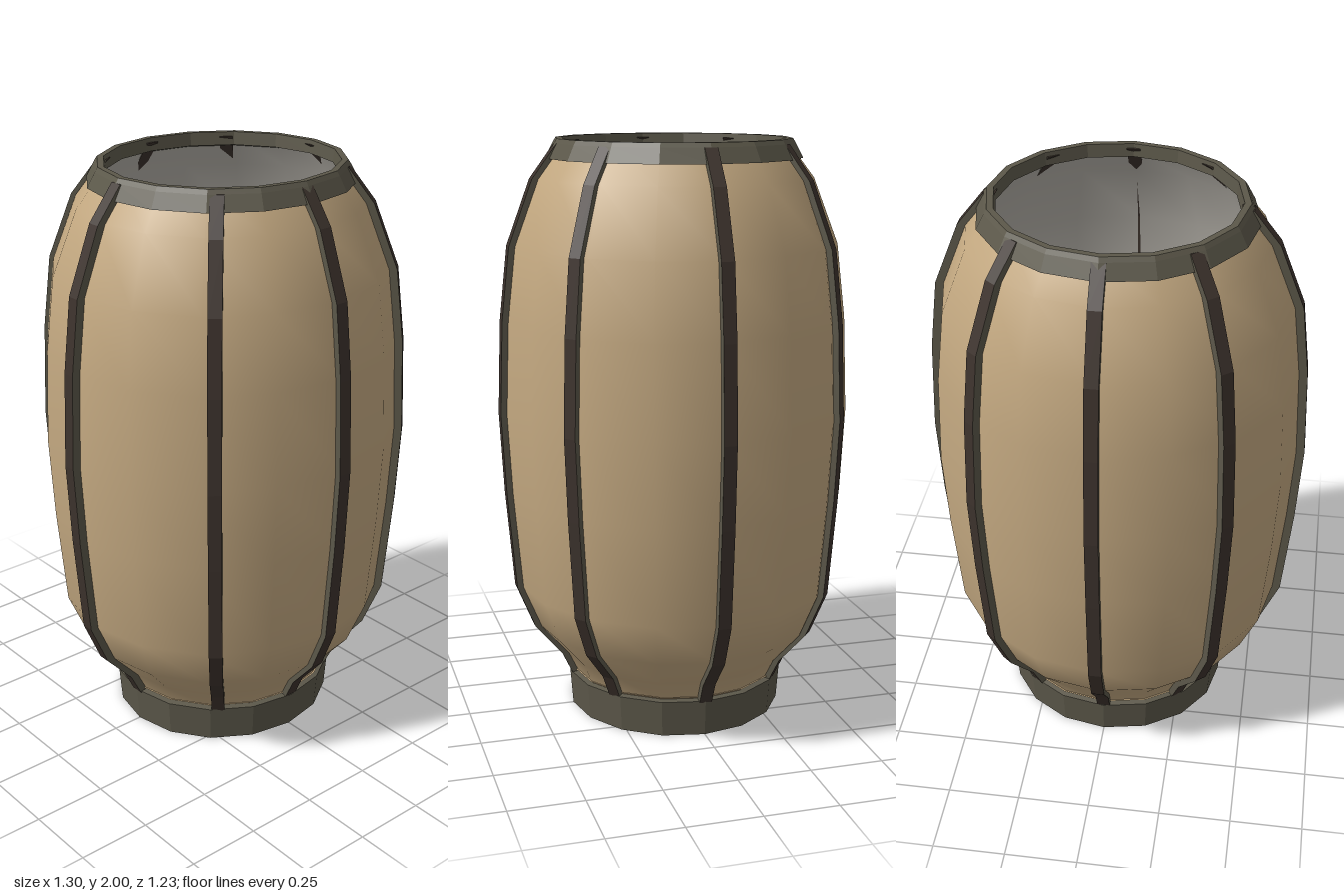
import * as THREE from 'three';

const mat = (name, color) => {
  const m = new THREE.MeshStandardMaterial({ color });
  m.name = name;
  return m;
};

// Outer line of the barrel as [radius, height], bottom to top
const PROFILE = [
  [0.40, 0.12], [0.44, 0.2], [0.54, 0.31], [0.605, 0.46], [0.635, 0.8],
  [0.65, 1.08], [0.637, 1.4], [0.607, 1.65], [0.52, 1.87], [0.43, 1.985],
];
const SIDES = 16;

const offset = (d) => PROFILE.map(([r, y]) => new THREE.Vector2(r - d, y));
const points = (list) => list.map(([r, y]) => new THREE.Vector2(r, y));

function faceted(geometry) {
  const g = geometry.toNonIndexed();
  g.computeVertexNormals();
  return g;
}

export function createModel() {
  const model = new THREE.Group();
  const body = new THREE.Group();
  body.name = 'lantern';
  body.scale.z = 0.955; // slightly oval plan
  model.add(body);

  const paper = mat('tan paper', 0xc4a981);
  const metal = mat('olive grey metal', 0x5c584a);
  const wood = mat('dark brown wood', 0x3d332d);
  const underside = mat('near black underside', 0x241d1b);
  const lining = mat('pale grey lining', 0xb4b0a8);

  const add = (name, geometry, material, parent = body) => {
    const mesh = new THREE.Mesh(geometry, material);
    mesh.name = name;
    parent.add(mesh);
    return mesh;
  };

  // Bulging paper shell and its inside face
  add('paperShell', new THREE.LatheGeometry(offset(0.024), SIDES), paper);
  const inside = offset(0.045).reverse();
  inside[0].x = 0.40;
  inside[inside.length - 1].x = 0.372;
  add('innerLining', new THREE.LatheGeometry(inside, SIDES), lining);

  // Eight curved ribs: grey sides, dark outer edge
  const ribs = new THREE.Group();
  ribs.name = 'ribs';
  body.add(ribs);
  const ribShape = new THREE.Shape([...offset(0), ...offset(0.04).reverse()]);
  const ribWidth = 0.046;
  const ribGeometry = new THREE.ExtrudeGeometry(ribShape, { depth: ribWidth, bevelEnabled: false });
  ribGeometry.translate(0, 0, -ribWidth / 2);
  const diagonal = 49;
  for (const degrees of [0, diagonal, 90, 180 - diagonal, 180, 180 + diagonal, 270, 360 - diagonal]) {
    const rib = add('rib', ribGeometry, [metal, wood], ribs);
    rib.rotation.y = THREE.MathUtils.degToRad(degrees);
    // Ribs away from the sides sit a touch closer in
    const inset = Math.abs(Math.cos(rib.rotation.y)) > 0.9 ? 1 : 0.99;
    rib.scale.set(inset, 1, 1);
  }

  // Top rim
  add('topRim', faceted(new THREE.LatheGeometry(points([
    [0.40, 1.955], [0.457, 1.935], [0.43, 1.985], [0.42, 2.0], [0.398, 2.0], [0.393, 1.955],
  ]), SIDES)), metal);

  // Base ring and dark underside
  add('baseRing', faceted(new THREE.LatheGeometry(points([
    [0.392, 0.0], [0.402, 0.125], [0.37, 0.13],
  ]), SIDES)), metal);
  const bottom = add('underside', new THREE.CircleGeometry(0.392, SIDES), underside);
  bottom.rotation.set(Math.PI / 2, 0, 0);

  // Inner floor with a small stepped candle and wick
  const floor = add('innerFloor', new THREE.CircleGeometry(0.39, SIDES), paper);
  floor.rotation.x = -Math.PI / 2;
  floor.position.y = 0.135;
  add('candle', faceted(new THREE.LatheGeometry(points([
    [0.1, 0.135], [0.095, 0.2], [0.065, 0.24], [0.055, 0.3], [0, 0.31],
  ]), 9)), paper);
  const wick = add('wick', faceted(new THREE.ConeGeometry(0.035, 0.06, 4)), metal);
  wick.position.y = 0.335;

  return model;
}
